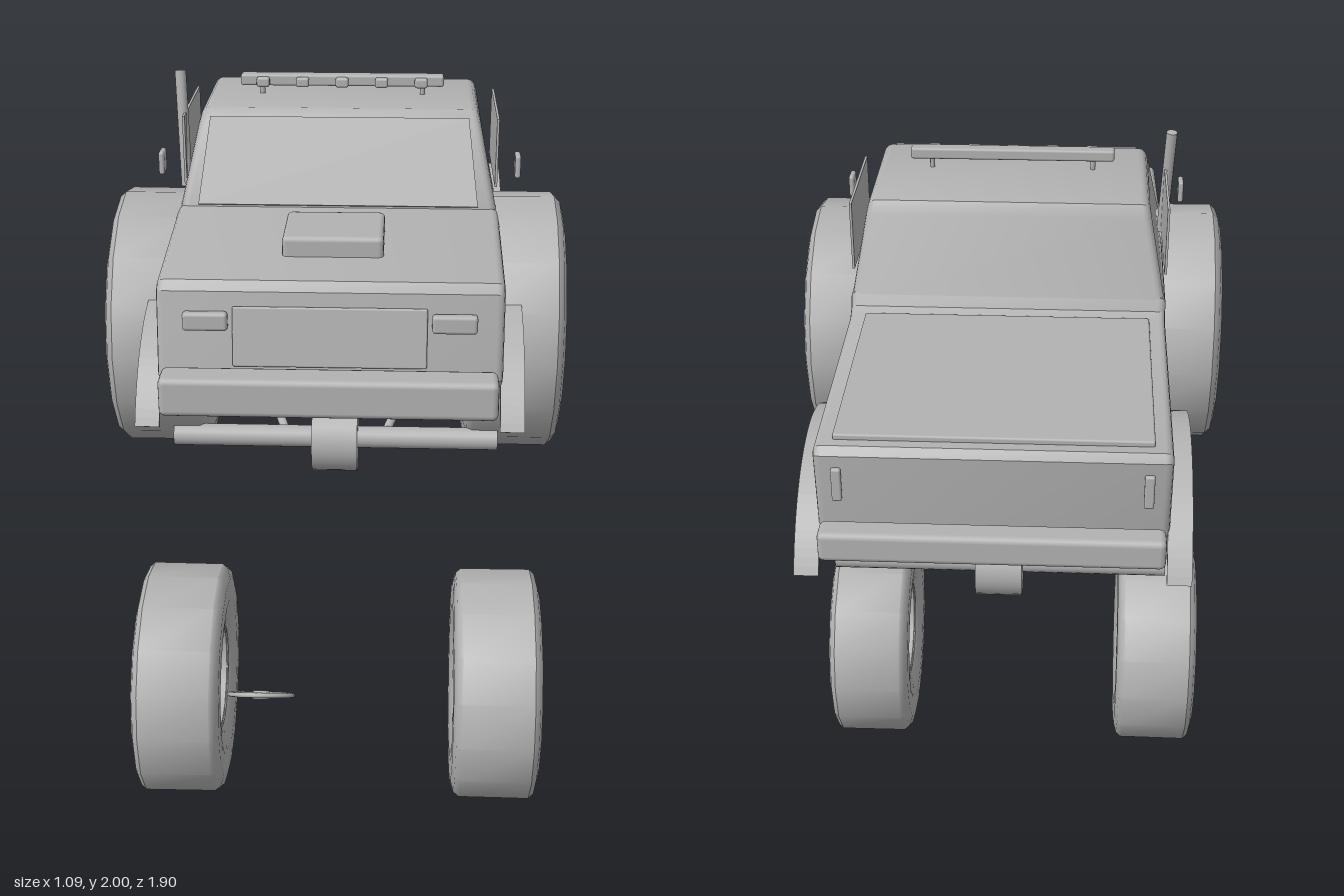
import * as THREE from 'three';
import { RoundedBoxGeometry } from 'three/addons/geometries/RoundedBoxGeometry.js';
import { toCreasedNormals } from 'three/addons/utils/BufferGeometryUtils.js';

export function createModel() {
  const model = new THREE.Group();
  model.name = 'explodedTruck';
  const grey = new THREE.MeshStandardMaterial({ color: 0xb2b2b2, side: THREE.DoubleSide });
  grey.name = 'plain grey';

  const add = (name, geo, x = 0, y = 0, z = 0, parent = model) => {
    const mesh = new THREE.Mesh(geo, grey);
    mesh.name = name;
    mesh.position.set(x, y, z);
    parent.add(mesh);
    return mesh;
  };
  // box given by its size and centre, with softened edges
  const box = (name, w, h, d, x, y, z, r = 0.01) =>
    add(name, new RoundedBoxGeometry(w, h, d, 2, Math.min(r, w / 2.1, h / 2.1, d / 2.1)), x, y, z);
  // straight round bar between two points
  const bar = (name, a, b, r, sides = 12) => {
    const p = new THREE.Vector3(...a), q = new THREE.Vector3(...b);
    const m = add(name, new THREE.CylinderGeometry(r, r, p.distanceTo(q), sides));
    m.position.copy(p).add(q).multiplyScalar(0.5);
    m.quaternion.setFromUnitVectors(new THREE.Vector3(0, 1, 0), q.sub(p).normalize());
    return m;
  };
  // side profile of [z, y] points extruded across x
  const acrossX = (pts, halfWidth, bevel) => {
    const shape = new THREE.Shape(pts.map(([z, y]) => new THREE.Vector2(z, y)));
    const depth = 2 * (halfWidth - bevel);
    return new THREE.ExtrudeGeometry(shape, {
      depth, bevelEnabled: bevel > 0, bevelSize: bevel, bevelThickness: bevel, bevelOffset: -bevel, bevelSegments: 3,
    }).rotateY(-Math.PI / 2).translate(depth / 2, 0, 0);
  };

  // lower body: nose, hood and bed in one shell
  add('lowerBody', toCreasedNormals(acrossX([
    [0.755, 1.43], [0.785, 1.46], [0.755, 1.655], [0.735, 1.675], [0.345, 1.72], [0.27, 1.72],
    [-0.20, 1.70], [-0.215, 1.67], [-0.24, 1.657], [-0.855, 1.652], [-0.872, 1.635], [-0.855, 1.43],
  ], 0.385, 0.018), 0.6));

  // cab, narrowing toward the roof
  const cab = acrossX([
    [0.345, 1.64], [0.345, 1.715], [0.24, 1.905], [0.205, 1.928], [-0.115, 1.928],
    [-0.15, 1.92], [-0.168, 1.89], [-0.205, 1.68], [-0.23, 1.64],
  ], 0.385, 0.02);
  const cp = cab.attributes.position;
  for (let i = 0; i < cp.count; i++) {
    const t = Math.max(0, (cp.getY(i) - 1.69) / 0.238);
    cp.setX(i, cp.getX(i) * (1 - 0.13 * t));
  }
  cab.computeVertexNormals();
  add('cab', toCreasedNormals(cab, 0.6));

  // windshield pane, lying just ahead of the cab front
  const pane = new THREE.BoxGeometry(0.67, 0.215, 0.008);
  const pp = pane.attributes.position;
  for (let i = 0; i < pp.count; i++) if (pp.getY(i) > 0) pp.setX(i, pp.getX(i) * 0.93);
  add('windshield', pane, 0, 1.82, 0.294).rotation.x = -0.505;

  // bed cover
  box('bedCover', 0.69, 0.016, 0.59, 0, 1.657, -0.535, 0.005);

  // nose and hood details
  box('hoodScoop', 0.23, 0.06, 0.2, 0, 1.705, 0.515, 0.012);
  box('grille', 0.43, 0.135, 0.012, 0, 1.557, 0.774, 0.004).rotation.x = -0.15;
  box('frontBumper', 0.745, 0.09, 0.082, 0, 1.448, 0.833, 0.014);
  box('rearBumper', 0.75, 0.072, 0.065, 0, 1.447, -0.913, 0.014);

  // roof light bar with five lamps
  box('lightBar', 0.505, 0.028, 0.036, 0, 1.965, 0.06, 0.006);
  for (let i = -2; i <= 2; i++) box('roofLamp', 0.032, 0.024, 0.02, i * 0.098, 1.963, 0.086, 0.006);
  for (const s of [-1, 1]) bar('lightBarFoot', [s * 0.2, 1.9, 0.055], [s * 0.2, 1.96, 0.055], 0.006, 8);

  // exhaust stack
  bar('exhaustStack', [-0.385, 1.72, 0.17], [-0.396, 2.0, 0.128], 0.014);

  for (const s of [-1, 1]) {
    box('headlight', 0.1, 0.042, 0.025, s * 0.275, 1.592, 0.772, 0.008);
    box('tailLight', 0.022, 0.08, 0.014, s * 0.335, 1.567, -0.874, 0.005);
    // side glass stands upright beside the tapering cab
    add('sideWindow', acrossX([[0.19, 1.73], [0.19, 1.9], [-0.13, 1.9], [-0.13, 1.73]], 0.003, 0), s * 0.385);
    box('mirror', 0.014, 0.056, 0.05, s * 0.432, 1.803, 0.245, 0.006);
  }

  // running gear, mirrored for the front and rear axle
  const arch = new THREE.Shape();
  arch.absarc(0, 0, 0.362, 0.46, Math.PI - 0.46, false);
  arch.absarc(0, 0, 0.352, Math.PI - 0.46, 0.46, true);
  const archGeo = new THREE.ExtrudeGeometry(arch, { depth: 0.055, bevelEnabled: false, curveSegments: 20 })
    .rotateY(-Math.PI / 2).translate(0.0275, 0, 0);
  for (const [end, az] of [['front', 0.495], ['rear', -0.592]]) {
    const f = Math.sign(az), y = 1.185;
    bar(end + 'Axle', [-0.395, y, az], [0.395, y, az], 0.027, 20);
    bar(end + 'Differential', [-0.055, y, az], [0.055, y, az], 0.083, 28);
    for (const s of [-1, 1]) {
      add(end + 'Fender', archGeo, s * 0.408, 1.194, az);
      bar(end + 'ShockBody', [s * 0.285, 1.44, az - f * 0.055], [s * 0.285, 1.225, az - f * 0.137], 0.028, 16);
      bar(end + 'ShockRod', [s * 0.285, 1.23, az - f * 0.135], [s * 0.285, 1.19, az - f * 0.15], 0.018, 12);
      bar(end + 'ControlArm', [s * 0.22, 1.315, az - f * 0.29], [s * 0.125, 1.195, az - f * 0.02], 0.011);
    }
  }

  // bowed chassis rails and cross members
  const railY = z => 1.33 + 0.075 * Math.pow((z + 0.05) / 0.85, 2);
  const zs = [0.775, 0.5, 0.2, -0.05, -0.3, -0.6, -0.9];
  for (const s of [-1, 1]) {
    const curve = new THREE.CatmullRomCurve3(zs.map(z => new THREE.Vector3(s * 0.22, railY(z), z)));
    add('chassisRail', new THREE.TubeGeometry(curve, 24, 0.013, 8));
    for (const z of [0.765, -0.89]) {
      bar('railMount', [s * 0.22, 1.45, z * 0.95], [s * 0.22, railY(z), z * 0.97], 0.013, 8);
    }
  }
  for (const z of [0.7, 0.22, -0.3, -0.8]) bar('crossMember', [-0.22, railY(z), z], [0.22, railY(z), z], 0.011, 8);

  // wheels: sixteen-sided tyre around a dished rim; profile is [radius, offset]
  const lathe = (pts, n) => new THREE.LatheGeometry(pts.map(([r, h]) => new THREE.Vector2(r, h)), n).rotateZ(-Math.PI / 2);
  const tyreGeo = toCreasedNormals(lathe([
    [0.14, -0.095], [0.16, -0.108], [0.22, -0.117], [0.275, -0.117], [0.305, -0.109], [0.317, -0.095],
    [0.318, 0.095], [0.305, 0.109], [0.275, 0.117], [0.22, 0.117], [0.16, 0.108], [0.14, 0.095],
  ], 16), 0.7);
  const rimGeo = toCreasedNormals(lathe([
    [0, 0.015], [0.13, 0.015], [0.142, -0.1], [0.15, -0.1], [0.15, 0.1], [0.142, 0.1], [0.128, 0.03], [0, 0.024],
  ], 32), 0.6);
  const hubGeo = toCreasedNormals(lathe([[0.046, 0.02], [0.046, 0.042], [0.036, 0.054], [0, 0.054]], 20), 0.5);
  const capGeo = new THREE.CylinderGeometry(0.02, 0.02, 0.03, 6).rotateZ(-Math.PI / 2);
  for (const s of [-1, 1]) {
    for (const y of [0.323, 1.412]) {
      const wheel = new THREE.Group();
      wheel.name = 'wheel';
      wheel.position.set(s * 0.428, y, 0.262);
      wheel.rotation.y = s > 0 ? 0 : Math.PI;
      model.add(wheel);
      add('tyre', tyreGeo, 0, 0, 0, wheel);
      add('rim', rimGeo, 0, 0, 0, wheel);
      add('hub', hubGeo, 0, 0, 0, wheel);
      add('hubNut', capGeo, 0.06, 0, 0, wheel);
    }
  }

  // loose steering wheel
  const steering = new THREE.Group();
  steering.name = 'steeringWheel';
  steering.position.set(-0.16, 0.69, 0.885);
  steering.rotation.x = -0.58;
  model.add(steering);
  add('steeringRim', new THREE.TorusGeometry(0.074, 0.006, 8, 32).rotateX(Math.PI / 2), 0, 0, 0, steering);
  add('steeringHub', new THREE.CylinderGeometry(0.02, 0.02, 0.02, 16), 0, 0, 0, steering);

  return model;
}
